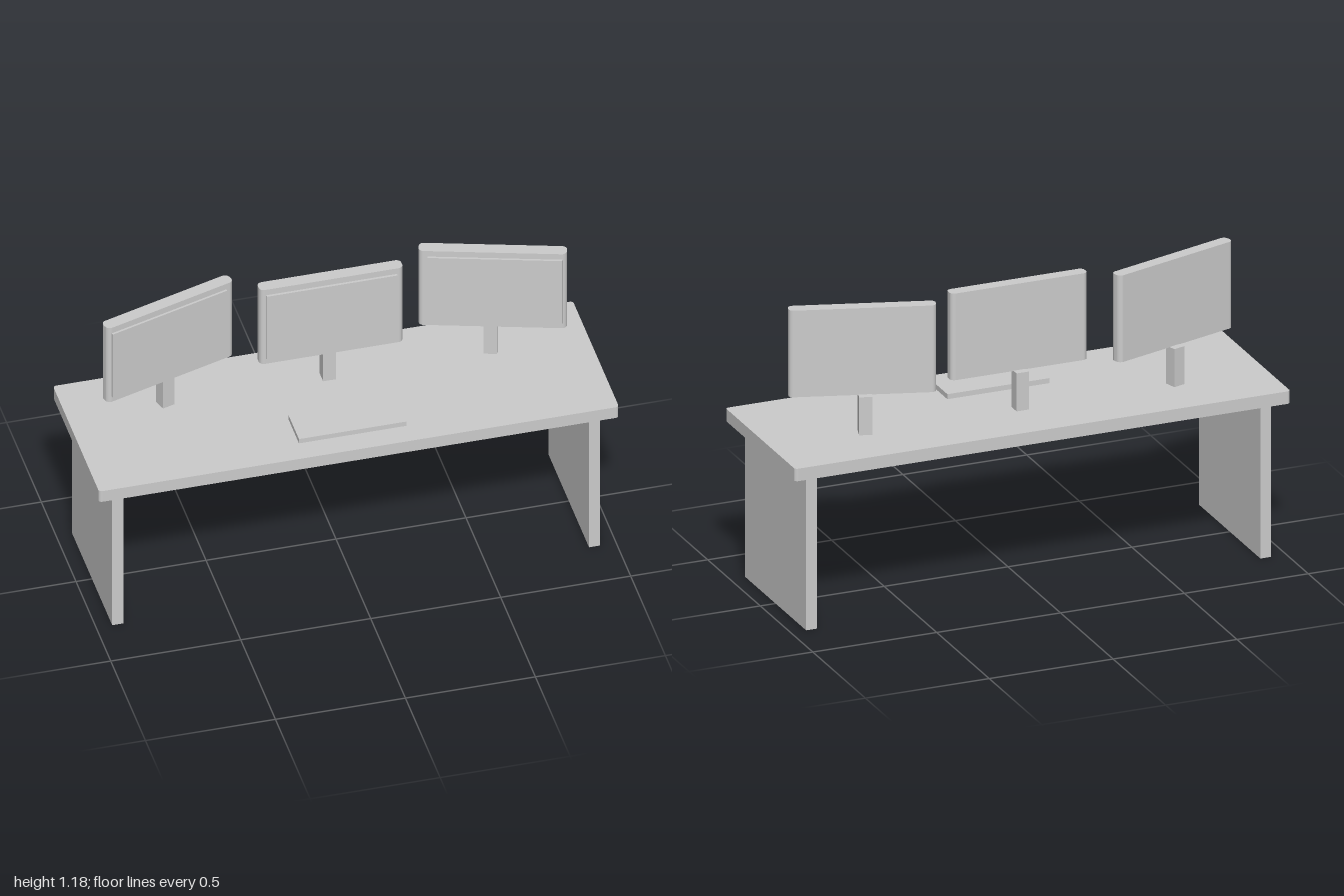
import * as THREE from 'three';

const grey = new THREE.MeshStandardMaterial({ color: 0xcccccc });
grey.name = 'light grey';

function addMesh(parent, name, geometry, x, y, z) {
  const mesh = new THREE.Mesh(geometry, grey);
  mesh.name = name;
  mesh.position.set(x, y, z);
  parent.add(mesh);
  return mesh;
}

// Slab with rounded vertical edges, centred on its origin
function roundedSlab(w, h, d, r) {
  const x = w / 2, z = d / 2;
  const shape = new THREE.Shape();
  shape.absarc(x - r, z - r, r, 0, Math.PI / 2);
  shape.absarc(-x + r, z - r, r, Math.PI / 2, Math.PI);
  shape.absarc(-x + r, -z + r, r, Math.PI, Math.PI * 1.5);
  shape.absarc(x - r, -z + r, r, Math.PI * 1.5, Math.PI * 2);
  shape.closePath();
  const geometry = new THREE.ExtrudeGeometry(shape, { depth: h, bevelEnabled: false, curveSegments: 4 });
  return geometry.translate(0, 0, -h / 2).rotateX(-Math.PI / 2);
}

export function createModel() {
  const model = new THREE.Group();
  model.name = 'deskWithMonitors';

  // Desk: top board and two side panels
  const desk = new THREE.Group();
  desk.name = 'desk';
  model.add(desk);
  addMesh(desk, 'deskTop', roundedSlab(2, 0.05, 0.664, 0.013), 0, 0.645, 0);
  for (const side of [-1, 1]) {
    addMesh(desk, side > 0 ? 'leftLeg' : 'rightLeg',
      new THREE.BoxGeometry(0.043, 0.62, 0.582), side * 0.917, 0.31, 0);
  }

  // Keyboard
  addMesh(model, 'keyboard', new THREE.BoxGeometry(0.413, 0.02, 0.15), 0, 0.68, 0.165);

  // Three monitors, the outer ones turned inwards about their own parts' centres
  const names = ['rightMonitor', 'centreMonitor', 'leftMonitor'];
  for (const side of [-1, 0, 1]) {
    const monitor = new THREE.Group();
    monitor.name = names[side + 1];
    monitor.position.x = side * 0.626;
    model.add(monitor);
    const parts = [
      addMesh(monitor, 'housing', roundedSlab(0.552, 0.347, 0.05, 0.019), 0, 1.002, -0.086),
      addMesh(monitor, 'screen', new THREE.BoxGeometry(0.502, 0.296, 0.012), 0, 1.002, -0.057),
      addMesh(monitor, 'stand', new THREE.BoxGeometry(0.05, 0.152, 0.05), 0, 0.754, -0.116),
    ];
    for (const part of parts) part.rotation.y = -side * 0.3;
  }
  return model;
}
